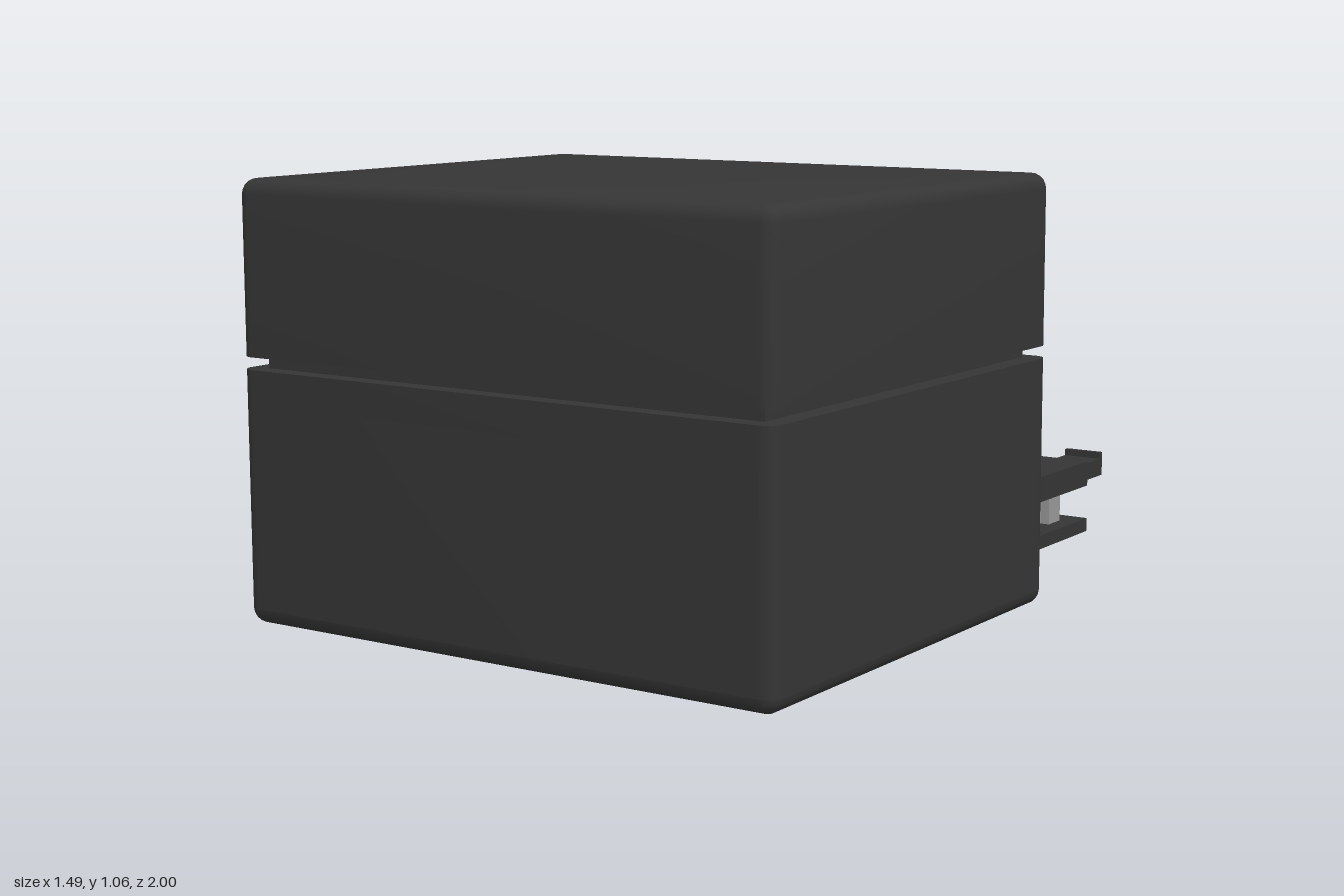
import * as THREE from 'three';
import { toCreasedNormals } from 'three/addons/utils/BufferGeometryUtils.js';

const HALF = 0.745, FRONT = 1, BACK = -0.235, R = 0.038;   // casing footprint
const SLOT = { x0: -0.27, x1: 0.555, z: 0.04, y0: R, y1: 0.53 }; // paper bay
const mat = color => new THREE.MeshStandardMaterial({ color });
const dark = mat(0x353535), plateGrey = mat(0x555555), lightGrey = mat(0xcccccc),
  midGrey = mat(0x999999), black = mat(0x26262a), blue = mat(0x6a70a0);

function add(parent, name, geometry, material, x = 0, y = 0, z = 0) {
  const mesh = new THREE.Mesh(geometry, material);
  mesh.name = name;
  mesh.position.set(x, y, z);
  parent.add(mesh);
  return mesh;
}

// box given by its extents on each axis
function box(parent, name, material, [x0, x1], [y0, y1], [z0, z1]) {
  return add(parent, name, new THREE.BoxGeometry(x1 - x0, y1 - y0, z1 - z0), material,
    (x0 + x1) / 2, (y0 + y1) / 2, (z0 + z1) / 2);
}

// rounded rectangle (shape y is -z), optionally with the paper bay cut into the back
function roundedRect(x0, x1, y0, y1, r, bay = false) {
  const q = Math.PI / 2, s = new THREE.Shape();
  s.absarc(x1 - r, y0 + r, r, -q, 0);
  s.absarc(x1 - r, y1 - r, r, 0, q);
  if (bay) {
    s.lineTo(SLOT.x1, y1);
    s.lineTo(SLOT.x1, -SLOT.z);
    s.lineTo(SLOT.x0, -SLOT.z);
    s.lineTo(SLOT.x0, y1);
  }
  s.absarc(x0 + r, y1 - r, r, q, 2 * q);
  s.absarc(x0 + r, y0 + r, r, 2 * q, 3 * q);
  s.closePath();
  return s;
}

const footprint = (inset = 0, bay = false) => roundedRect(-HALF + inset, HALF - inset,
  -FRONT + inset, -BACK - inset, Math.max(R - inset, 0.003), bay);

// shape raised from y0 to y1
function slab(shape, y0, y1) {
  const g = new THREE.ExtrudeGeometry(shape, { depth: y1 - y0, bevelEnabled: false, curveSegments: 6 });
  g.rotateX(-Math.PI / 2).translate(0, y0, 0);
  return toCreasedNormals(g, 0.6);
}

// closed stack of footprints, levels run upwards as [y, inset]
function loft(levels) {
  const pos = [], index = [], midZ = (FRONT + BACK) / 2;
  let n = 0;
  for (const [y, inset] of levels) {
    const ring = footprint(inset).getPoints(4).slice(0, -1); // last point repeats the first
    n = ring.length;
    ring.forEach(p => pos.push(p.x, y, -p.y));
  }
  const last = (levels.length - 1) * n, low = levels.length * n;
  pos.push(0, levels[0][0], midZ, 0, levels.at(-1)[0], midZ);
  for (let i = 0; i < n; i++) {
    const j = (i + 1) % n;
    for (let k = 0; k < last; k += n) index.push(k + i, k + j, k + n + j, k + i, k + n + j, k + n + i);
    index.push(low, j, i, low + 1, last + i, last + j);
  }
  const g = new THREE.BufferGeometry();
  g.setAttribute('position', new THREE.Float32BufferAttribute(pos, 3));
  g.setIndex(index);
  return toCreasedNormals(g, 0.6);
}

// quarter-round edge levels, from flat cap to full wall
const edge = Array.from({ length: 6 }, (_, i) => {
  const a = i / 5 * Math.PI / 2;
  return [R * (1 - Math.cos(a)), R * (1 - Math.sin(a))];
});

function buildCasing(parent) {
  const casing = new THREE.Group();
  casing.name = 'casing';
  add(casing, 'casingFloor', loft(edge), dark);
  add(casing, 'lowerCasing', slab(footprint(0, true), SLOT.y0, SLOT.y1), dark);
  add(casing, 'bayLintel', slab(footprint(), SLOT.y1, 0.612), dark);
  box(casing, 'seamCore', dark, [-0.695, 0.695], [0.6, 0.65], [-0.195, 0.955]);
  const top = edge.map(([y, inset]) => [1.06 - y, inset]).reverse();
  add(casing, 'upperCasing', loft([[0.642, 0], ...top]), dark);
  parent.add(casing);
}

function buildTray(parent) {
  const tray = new THREE.Group();
  tray.name = 'paperTray';
  const x = [SLOT.x0, 0.552], z = [-0.874, SLOT.z];
  box(tray, 'trayTop', dark, x, [0.17, 0.237], z);
  box(tray, 'trayBase', dark, x, [0.044, 0.08], z);
  box(tray, 'paperStack', midGrey, [-0.2, 0.48], [0.08, 0.112], [-0.74, SLOT.z]);
  for (const x0 of [-0.225, 0.435]) box(tray, 'traySpacer', midGrey, [x0, x0 + 0.07], [0.08, 0.17], [-0.805, -0.74]);
  box(tray, 'pullTab', dark, [0.43, 0.535], [0.178, 0.225], [-1, -0.874]);
  box(tray, 'pullTabLip', dark, [0.43, 0.535], [0.225, 0.242], [-1, -0.985]);
  parent.add(tray);
}

// tilted control panel; local y is the panel normal
function buildPanel(parent) {
  const panel = new THREE.Group();
  panel.name = 'controlPanel';
  panel.position.set(0.147, 0.792, -0.38);
  panel.rotation.x = -0.62;
  add(panel, 'panelBase', slab(roundedRect(-0.246, 0.244, -0.183, 0.183, 0.02), 0, 0.038), dark);
  add(panel, 'screenPlate', slab(roundedRect(-0.045, 0.244, -0.168, 0.186, 0.025), 0.028, 0.05), plateGrey);
  box(panel, 'screen', lightGrey, [0.024, 0.166], [0.045, 0.052], [-0.112, 0.068]);
  // direction pad and buttons
  const disc = (name, radius, height, m, x, z) =>
    add(panel, name, new THREE.CylinderGeometry(radius, radius, height, 32), m, x, 0.036 + height / 2, z);
  disc('directionPad', 0.066, 0.008, black, -0.137, -0.077);
  disc('padCentre', 0.022, 0.011, dark, -0.137, -0.077);
  for (let i = 0; i < 4; i++) {
    const a = i * Math.PI / 2;
    disc('padMark', 0.005, 0.012, blue, -0.137 + 0.026 * Math.cos(a), -0.077 + 0.026 * Math.sin(a));
  }
  for (const z of [0.012, 0.12]) disc('button', 0.017, 0.01, black, -0.185, z);
  parent.add(panel);
}

export function createModel() {
  const model = new THREE.Group();
  model.name = 'printer';
  buildCasing(model);
  buildTray(model);
  buildPanel(model);
  return model;
}
